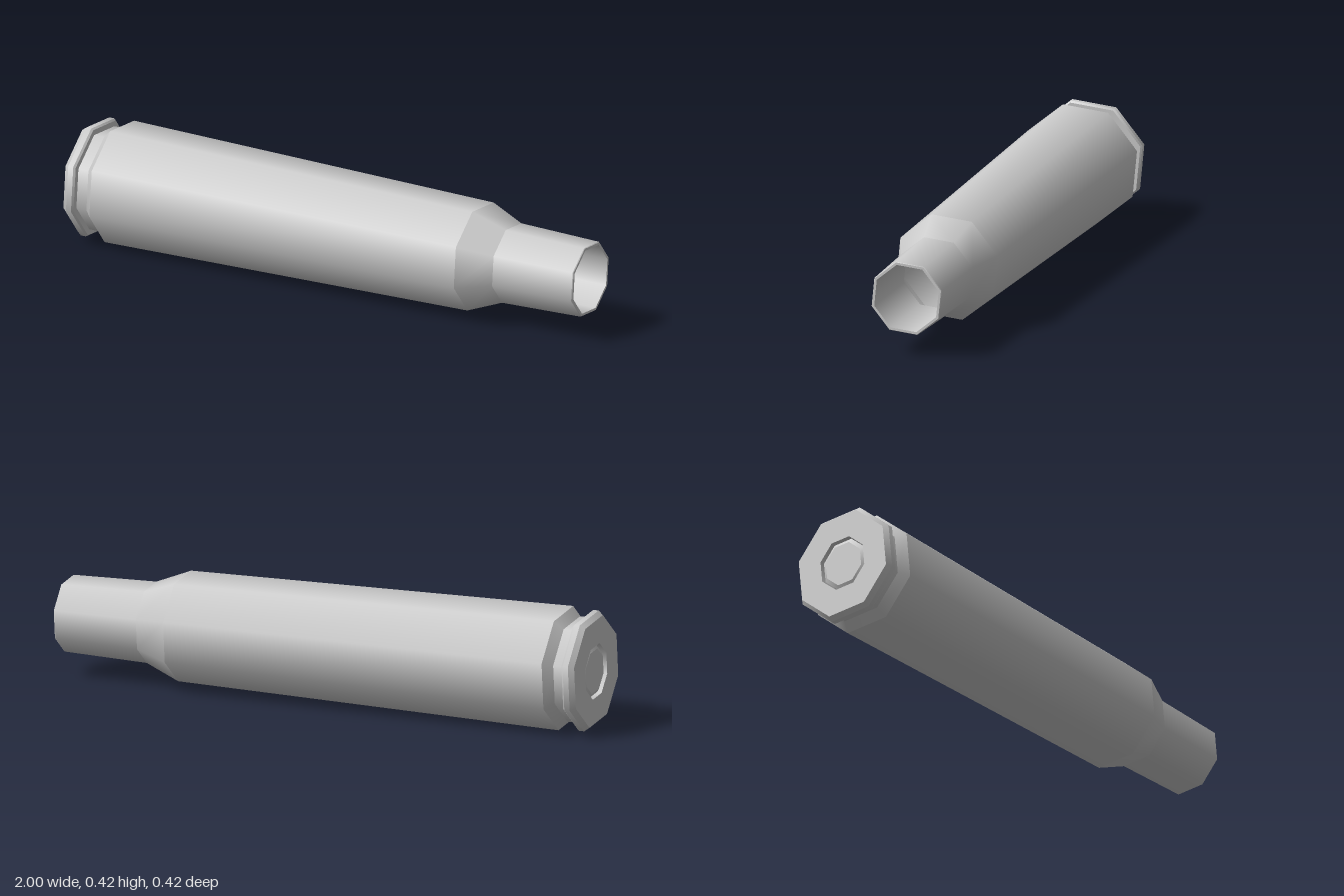
import * as THREE from 'three';
import { mergeGeometries } from 'three/addons/utils/BufferGeometryUtils.js';

const SIDES = 8;
const TWIST = 0.295;     // turn of the octagon about the long axis
const AXIS_HEIGHT = 0.2076;

// Revolves [x, radius] points about the x axis: smooth around, sharp between bands.
function revolve(name, profile, material) {
  const bands = [];
  for (let i = 0; i < profile.length - 1; i++) {
    const points = [profile[i], profile[i + 1]].map(([x, r]) => new THREE.Vector2(r, x));
    bands.push(new THREE.LatheGeometry(points, SIDES, TWIST, Math.PI * 2));
  }
  const geometry = mergeGeometries(bands);
  geometry.rotateZ(-Math.PI / 2);
  const mesh = new THREE.Mesh(geometry, material);
  mesh.name = name;
  mesh.position.y = AXIS_HEIGHT;
  return mesh;
}

export function createModel() {
  const group = new THREE.Group();
  group.name = 'cartridgeCase';
  const material = new THREE.MeshStandardMaterial({ color: 0xcccccc });

  // Hollow case: rim, groove, tapered body, shoulder, neck, then back along the inside
  group.add(revolve('case', [
    [-1, 0.099], [-1, 0.197], [-0.982, 0.211], [-0.962, 0.211], [-0.955, 0.205],
    [-0.955, 0.184], [-0.915, 0.184], [-0.885, 0.217],
    [0.56, 0.193], [0.685, 0.142], [0.997, 0.134],
    [1, 0.132], [1, 0.123],
    [0.68, 0.123], [0.55, 0.172], [-0.8, 0.18], [-0.9, 0.115], [-0.93, 0.099], [-1, 0.099],
  ], material));

  // Primer cup set in the head with a hairline gap, open towards the inside
  group.add(revolve('primer', [
    [-0.994, 0], [-0.994, 0.08], [-0.985, 0.095], [-0.92, 0.095],
    [-0.92, 0.088], [-0.97, 0.082], [-0.97, 0],
  ], material));

  return group;
}
